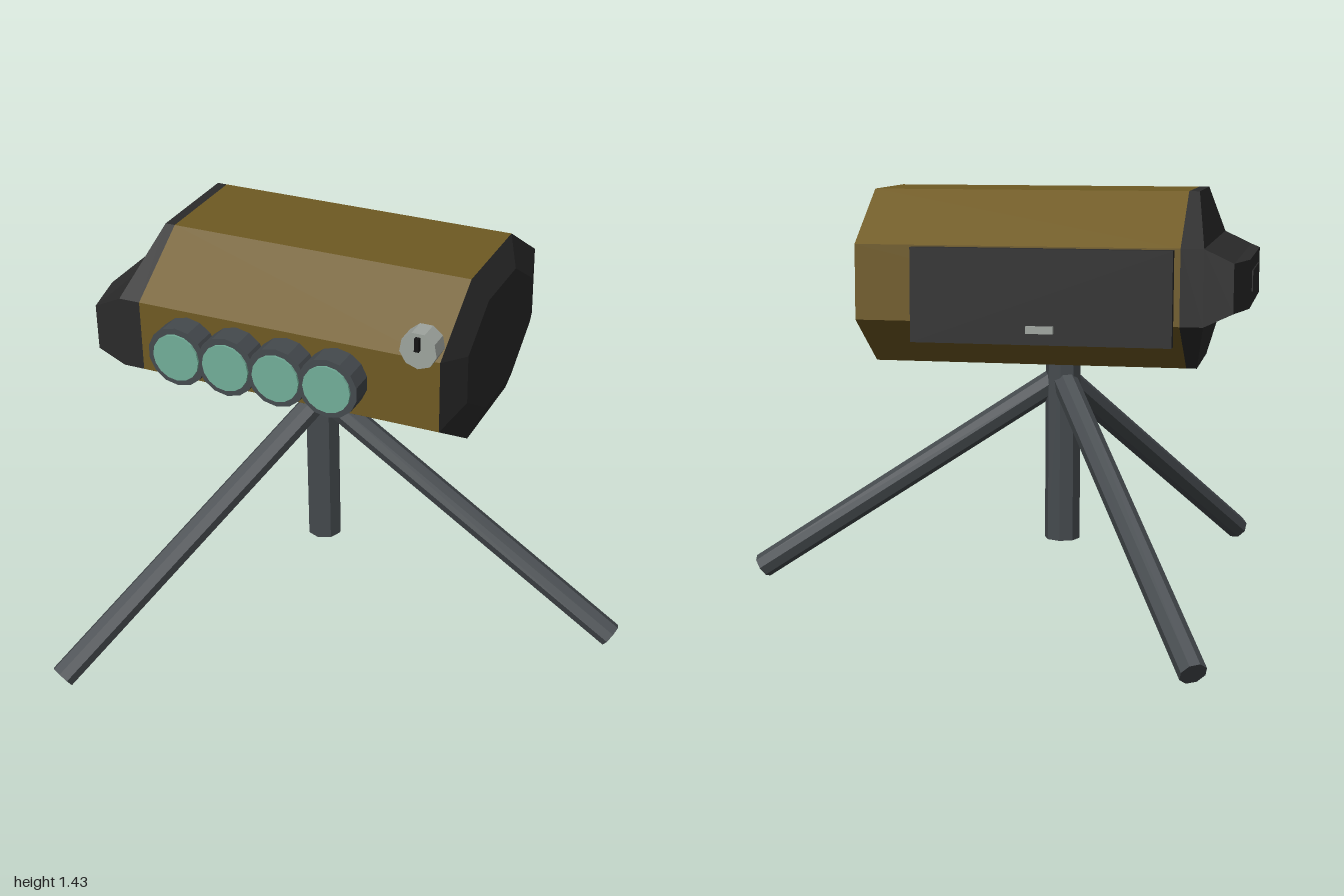
import * as THREE from 'three';

const mat = (name, color) => {
  const m = new THREE.MeshStandardMaterial({ color, flatShading: true });
  m.name = name;
  return m;
};

// Eight-point section, clockwise from the top: half widths and half heights of the flat and side corners
const ring = (x1, z1, y1, x2, z2, y2) => [
  [x1, y1, -z1], [x1, y1, z1], [x2, y2, z2], [x2, -y2, z2],
  [x1, -y1, z1], [x1, -y1, -z1], [x2, -y2, -z2], [x2, y2, -z2],
];

// Skin over sections ordered by rising x
function loft(rings, capStart, capEnd) {
  const pos = [];
  const tri = (a, b, c) => pos.push(...a, ...b, ...c);
  for (let i = 0; i < rings.length - 1; i++) {
    for (let j = 0; j < 8; j++) {
      const k = (j + 1) % 8, r = rings[i], s = rings[i + 1];
      tri(r[j], r[k], s[k]);
      tri(r[j], s[k], s[j]);
    }
  }
  const first = rings[0], last = rings[rings.length - 1];
  for (let j = 1; j < 7; j++) {
    if (capStart) tri(first[0], first[j + 1], first[j]);
    if (capEnd) tri(last[0], last[j], last[j + 1]);
  }
  const g = new THREE.BufferGeometry();
  g.setAttribute('position', new THREE.Float32BufferAttribute(pos, 3));
  g.computeVertexNormals();
  return g;
}

export function createModel() {
  const model = new THREE.Group();
  const olive = mat('olive paint', 0x6f5a23);
  const dark = mat('dark plastic', 0x2b2b2b);
  const steel = mat('gunmetal', 0x454a4e);
  const glass = mat('green glass', 0x72ae99);
  const silver = mat('silver', 0x9ea49e);
  const black = mat('black mark', 0x141414);

  const add = (name, geo, material, x = 0, y = 0, z = 0) => {
    const m = new THREE.Mesh(geo, material);
    m.name = name;
    m.position.set(x, y, z);
    model.add(m);
    return m;
  };
  const box = (name, w, h, d, material, x, y, z) =>
    add(name, new THREE.BoxGeometry(w, h, d), material, x, y, z);
  // Cylinder pointing along z
  const disc = (name, r, depth, sides, material, x, y, z) => {
    const g = new THREE.CylinderGeometry(r, r, depth, sides);
    g.rotateX(Math.PI / 2);
    return add(name, g, material, x, y, z);
  };

  // Octagonal housing and its end caps
  const Y = 1.14;
  const full = (x) => ring(x, 0.19, 0.295, x, 0.455, 0.125);
  add('housing', loft([full(-0.69), full(0.38)], false, false), olive, 0, Y);
  add('rightEndCap', loft([full(0.38), ring(0.42, 0.13, 0.2, 0.42, 0.31, 0.085)], false, true), dark, 0, Y);
  add('leftEndCap', loft([
    ring(-0.9, 0.28, 0.08, -0.9, 0.28, 0.08),
    ring(-0.86, 0.28, 0.08, -0.86, 0.455, 0.08),
    ring(-0.765, 0.28, 0.125, -0.765, 0.455, 0.125),
    ring(-0.725, 0.19, 0.295, -0.765, 0.455, 0.125),
    full(-0.69),
  ], true, false), dark, 0, Y);
  box('endSlot', 0.006, 0.07, 0.34, dark, -0.901, Y, 0);

  // Row of four lenses
  for (let i = 0; i < 4; i++) {
    const x = -0.51 + i * 0.18;
    disc('lensBarrel', 0.105, 0.09, 14, steel, x, Y, 0.495);
    disc('lensGlass', 0.083, 0.008, 16, glass, x, Y, 0.544);
  }

  // Dial with pointer
  disc('dial', 0.063, 0.07, 9, silver, 0.335, 1.335, 0.495);
  box('dialPointer', 0.016, 0.045, 0.014, black, 0.335, 1.36, 0.537);

  // Rear door and latch
  box('rearDoor', 0.855, 0.31, 0.04, dark, -0.243, 1.105, -0.475);
  box('latch', 0.09, 0.024, 0.014, silver, -0.245, 1.0, -0.501);

  // Tripod
  const hub = new THREE.Vector3(-0.24, 0.78, 0);
  add('centrePost', new THREE.CylinderGeometry(0.062, 0.062, 0.66, 8), steel, -0.242, 0.53, 0);
  for (let i = 0; i < 3; i++) {
    const a = (i * Math.PI * 2) / 3;
    const foot = new THREE.Vector3(hub.x + 1.115 * Math.cos(a), 0.038, 1.115 * Math.sin(a));
    const dir = foot.clone().sub(hub);
    const leg = add('tripodLeg', new THREE.CylinderGeometry(0.045, 0.045, dir.length(), 8), steel);
    leg.position.copy(hub).add(foot).multiplyScalar(0.5);
    leg.quaternion.setFromUnitVectors(new THREE.Vector3(0, -1, 0), dir.normalize());
  }
  return model;
}
